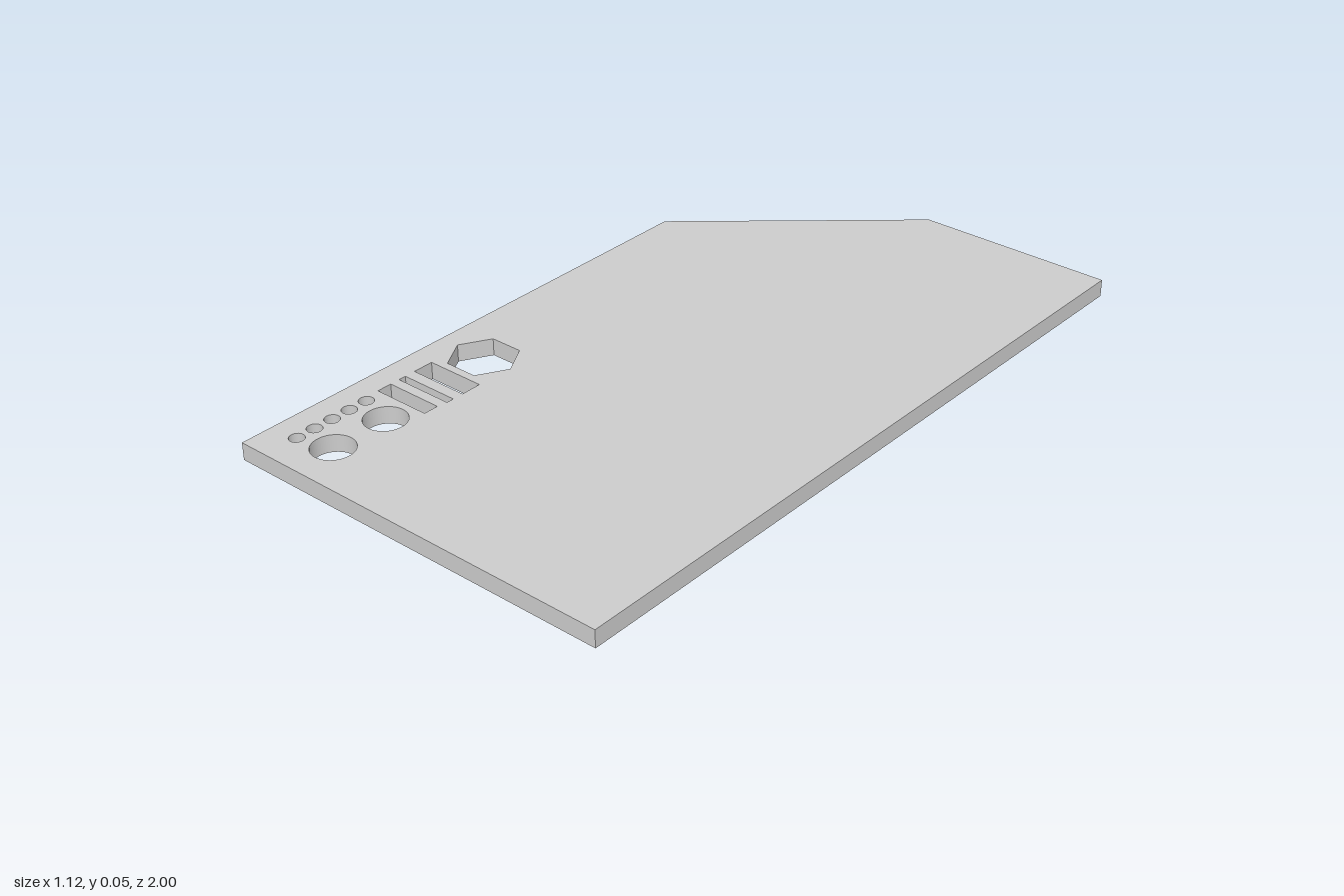
import * as THREE from 'three';

const THICKNESS = 0.048;

// Plan outlines are given as [x, z]; shape y is -z so the plate lies flat after rotation.
const toPoints = (pairs) => pairs.map(([x, z]) => new THREE.Vector2(x, -z));

const polygonHole = (pairs) => new THREE.Path(toPoints(pairs));

const slot = (x0, x1, z0, z1) => polygonHole([[x0, z0], [x1, z0], [x1, z1], [x0, z1]]);

const roundHole = (x, z, r) => new THREE.Path().absarc(x, -z, r, 0, Math.PI * 2, true);

function hexHole(x, z, r) {
  const corners = [];
  for (let i = 0; i < 6; i++) {
    const a = (i * Math.PI) / 3;
    corners.push([x + r * Math.cos(a), z + r * Math.sin(a)]);
  }
  return polygonHole(corners);
}

export function createModel() {
  const group = new THREE.Group();
  group.name = 'perforatedPlate';

  // Rectangular plate with one clipped back corner
  const outline = new THREE.Shape(toPoints([
    [-0.56, 1], [0.56, 1], [0.56, -1], [0, -1], [-0.56, -0.515],
  ]));

  // Hexagonal opening and three slots of different widths
  outline.holes.push(
    hexHole(-0.411, 0.35, 0.093),
    slot(-0.491, -0.323, 0.453, 0.511),
    slot(-0.491, -0.323, 0.542, 0.563),
    slot(-0.491, -0.328, 0.591, 0.633),
  );

  // Two large holes beside a row of five small ones
  for (const z of [0.71, 0.876]) outline.holes.push(roundHole(-0.381, z, 0.056));
  for (let i = 0; i < 5; i++) outline.holes.push(roundHole(-0.478, 0.683 + i * 0.055, 0.02));

  const geometry = new THREE.ExtrudeGeometry(outline, {
    depth: THICKNESS, bevelEnabled: false, curveSegments: 40,
  });
  geometry.rotateX(-Math.PI / 2);

  const plate = new THREE.Mesh(geometry, new THREE.MeshStandardMaterial({ color: 0xcccccc }));
  plate.name = 'plate';
  group.add(plate);
  return group;
}
